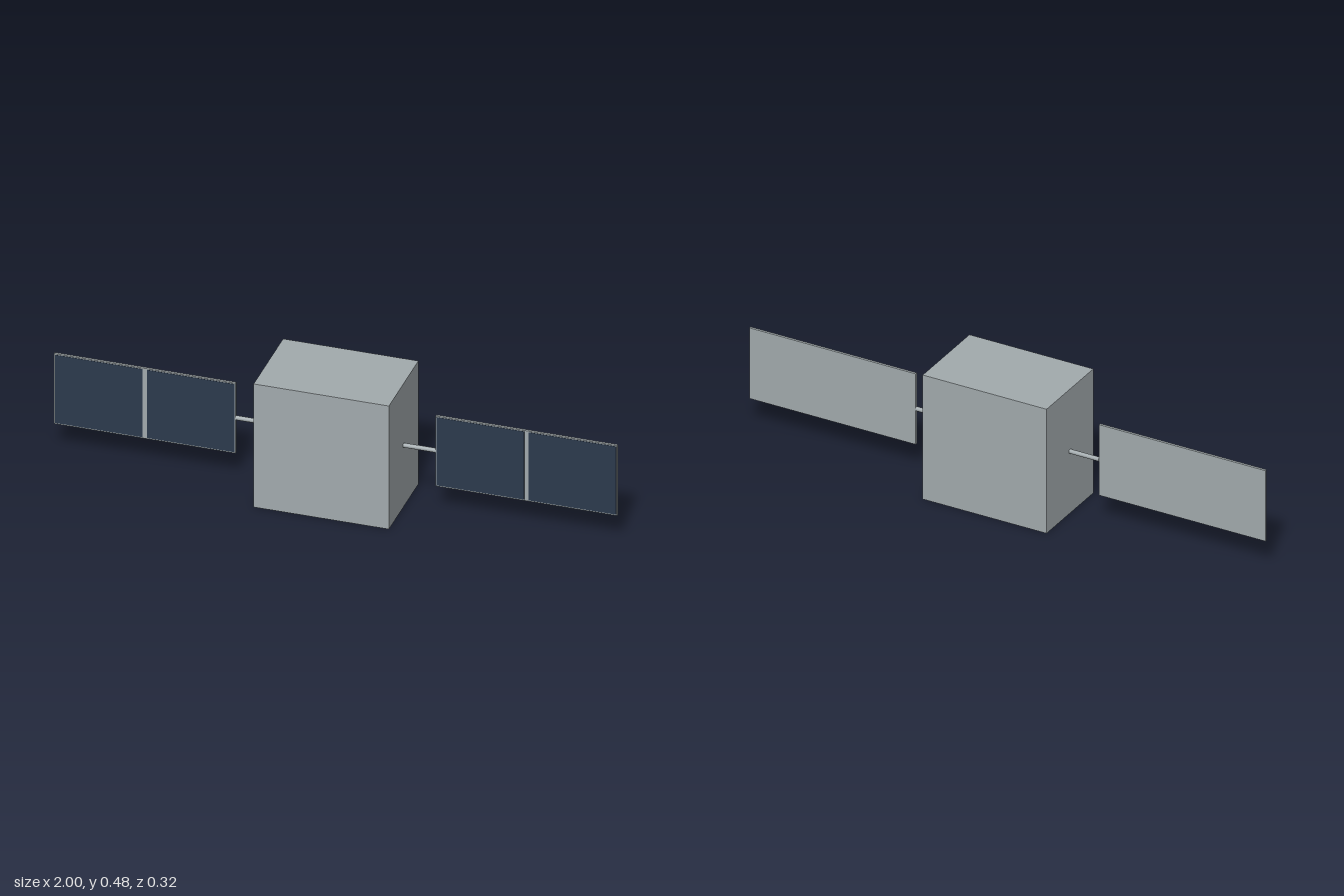
import * as THREE from 'three';

const grey = new THREE.MeshStandardMaterial({ color: 0xa3abae });
grey.name = 'satelliteGrey';
const navy = new THREE.MeshStandardMaterial({ color: 0x2c3a4d });
navy.name = 'solarCellNavy';

const MID_Y = 0.24;
const PANEL = { inner: 0.355, outer: 1, height: 0.273, depth: 0.009 };

function addMesh(parent, name, geometry, material, x, y, z) {
  const mesh = new THREE.Mesh(geometry, material);
  mesh.name = name;
  mesh.position.set(x, y, z);
  parent.add(mesh);
  return mesh;
}

// One boom with a panel and two solar cells; side is +1 (left) or -1 (right)
function createWing(side) {
  const wing = new THREE.Group();
  wing.name = side > 0 ? 'leftWing' : 'rightWing';

  const boom = addMesh(wing, 'boom', new THREE.CylinderGeometry(0.008, 0.008, 0.125, 16),
    grey, side * 0.2925, MID_Y, 0);
  boom.rotation.z = Math.PI / 2;

  const width = PANEL.outer - PANEL.inner;
  const centre = (PANEL.outer + PANEL.inner) / 2;
  addMesh(wing, 'panel', new THREE.BoxGeometry(width, PANEL.height, PANEL.depth),
    grey, side * centre, MID_Y, 0);

  // Cells leave a thin border and a strip down the middle
  const border = 0.004, gap = 0.016;
  const cellWidth = (width - gap) / 2 - border;
  for (const half of [-1, 1]) {
    addMesh(wing, 'solarCell',
      new THREE.BoxGeometry(cellWidth, PANEL.height - 2 * border, 0.001), navy,
      side * centre + half * (gap + cellWidth) / 2, MID_Y, PANEL.depth / 2 + 0.0005);
  }
  return wing;
}

export function createModel() {
  const model = new THREE.Group();
  model.name = 'satellite';
  addMesh(model, 'body', new THREE.BoxGeometry(0.48, 0.48, 0.32), grey, 0, MID_Y, 0);
  for (const side of [-1, 1]) model.add(createWing(side));
  return model;
}
